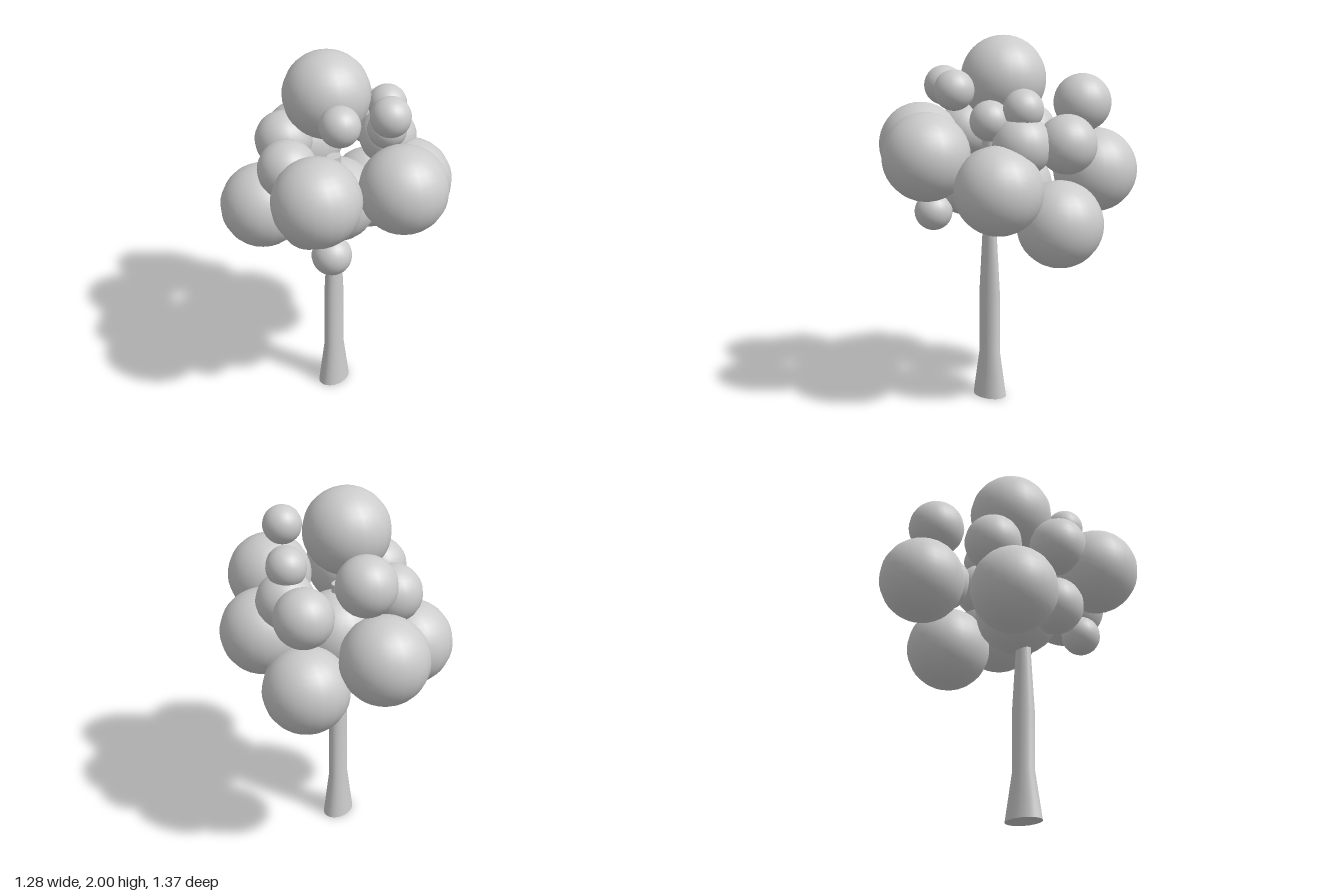
import * as THREE from 'three';
import { toCreasedNormals } from 'three/addons/utils/BufferGeometryUtils.js';

// Foliage balls grouped by size: each entry is a centre [x, y, z]
const CLUSTERS = [
  { name: 'largeFoliage', radius: 0.23, centres: [
    [-0.005, 1.77, -0.06], // crown
    [-0.01, 1.177, 0],     // core around the trunk
    [-0.415, 1.4, 0.17],
    [-0.055, 1.4, 0.45],
    [0.29, 1.245, 0.273],
    [0.41, 1.04, -0.06],
    [0.31, 1.27, -0.455],
    [-0.205, 1.12, -0.342],
  ] },
  { name: 'mediumFoliage', radius: 0.155, centres: [
    [0.307, 1.645, -0.345],
    [-0.05, 1.46, -0.31],
    [-0.32, 1.467, -0.08],
    [0.445, 1.463, -0.07],
    [0.307, 1.46, 0.12],
    [-0.25, 1.16, 0],
  ] },
  { name: 'smallFoliage', radius: 0.105, centres: [
    [-0.22, 1.737, 0.173],
    [0.015, 1.737, 0.318],
    [0.162, 1.583, 0.207],
    [0.307, 1.645, 0.112],
    [-0.303, 1.04, 0.182],
  ] },
];

export function createModel() {
  const tree = new THREE.Group();
  tree.name = 'tree';
  const material = new THREE.MeshStandardMaterial({ color: 0xcccccc });

  // Trunk: flared foot, straight middle, tapering top, flattened front to back
  const profile = [
    [0, 0], [0.105, 0], [0.065, 0.26], [0.065, 0.6],
    [0.045, 0.93], [0.045, 1.45], [0, 1.45],
  ].map(([r, y]) => new THREE.Vector2(r, y));
  const trunkGeometry = new THREE.LatheGeometry(profile, 24).scale(1, 1, 0.72);
  const trunk = new THREE.Mesh(toCreasedNormals(trunkGeometry, 0.6), material);
  trunk.name = 'trunk';
  trunk.position.set(-0.04, 0, 0.01);
  tree.add(trunk);

  // Foliage
  for (const { name, radius, centres } of CLUSTERS) {
    const cluster = new THREE.Group();
    cluster.name = name;
    const geometry = new THREE.SphereGeometry(radius, 20, 20);
    centres.forEach((centre, i) => {
      const ball = new THREE.Mesh(geometry, material);
      ball.name = `${name}Ball${i + 1}`;
      ball.position.set(...centre);
      cluster.add(ball);
    });
    tree.add(cluster);
  }
  return tree;
}
